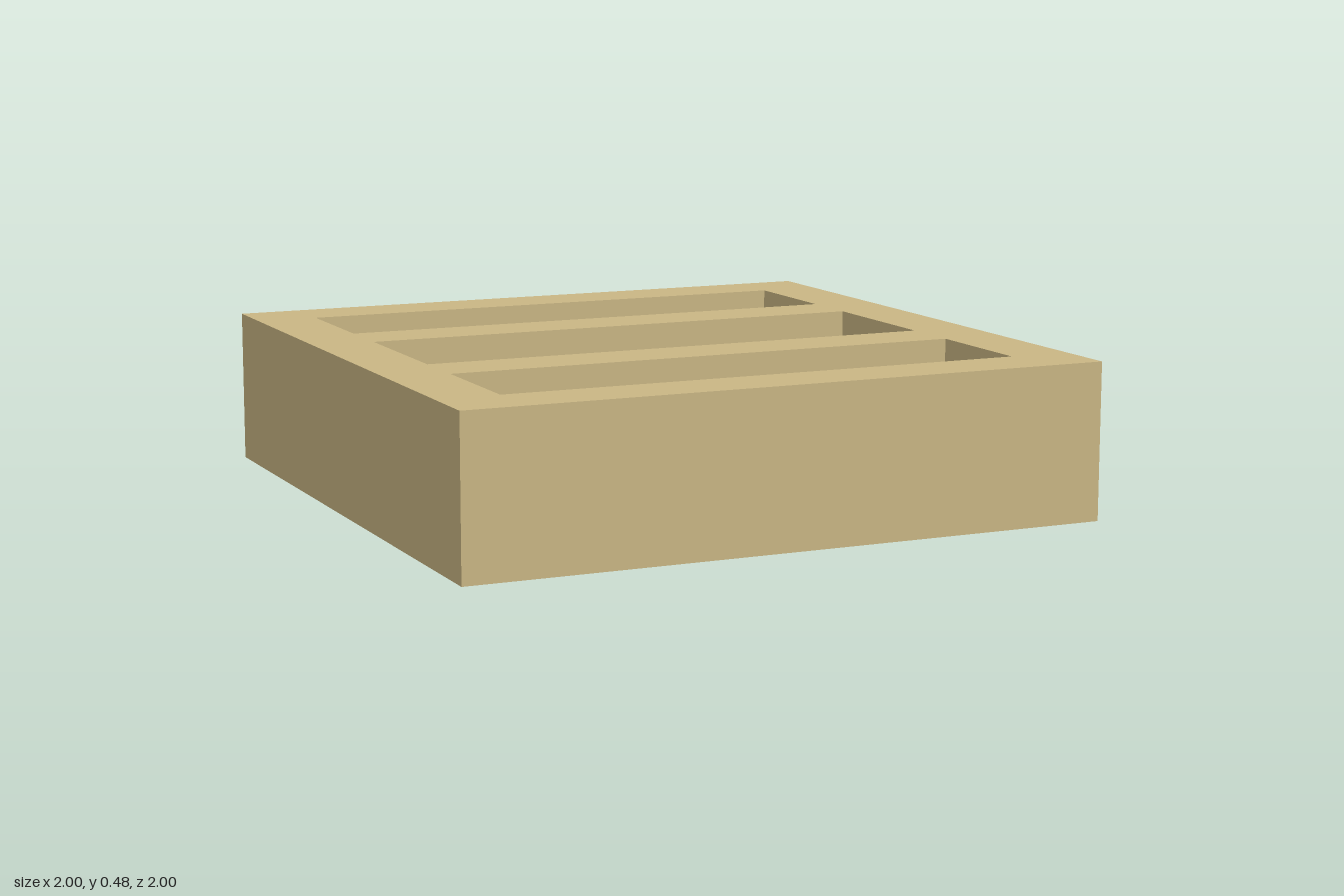
import * as THREE from 'three';

const HEIGHT = 0.476;
const SLOT_X = 0.81; // half length of each slot
const SLOTS = [[-0.81, -0.43], [-0.24, 0.235], [0.425, 0.81]]; // back and front z of each slot

// Adds a rectangle to a path, from (x0, y0) to (x1, y1)
function rect(path, x0, y0, x1, y1) {
  path.moveTo(x0, y0);
  path.lineTo(x1, y0);
  path.lineTo(x1, y1);
  path.lineTo(x0, y1);
  path.closePath();
  return path;
}

export function createModel() {
  const model = new THREE.Group();
  model.name = 'slottedFrame';

  const tan = new THREE.MeshStandardMaterial({ color: 0xc9b684 });
  tan.name = 'tan';

  // Square block with three slots cut right through
  const outline = rect(new THREE.Shape(), -1, -1, 1, 1);
  for (const [back, front] of SLOTS) {
    outline.holes.push(rect(new THREE.Path(), -SLOT_X, -front, SLOT_X, -back));
  }

  // Extruded upwards, with shape y pointing to -z
  const geometry = new THREE.ExtrudeGeometry(outline, { depth: HEIGHT, bevelEnabled: false });
  geometry.rotateX(-Math.PI / 2);

  const frame = new THREE.Mesh(geometry, tan);
  frame.name = 'frame';
  model.add(frame);
  return model;
}
